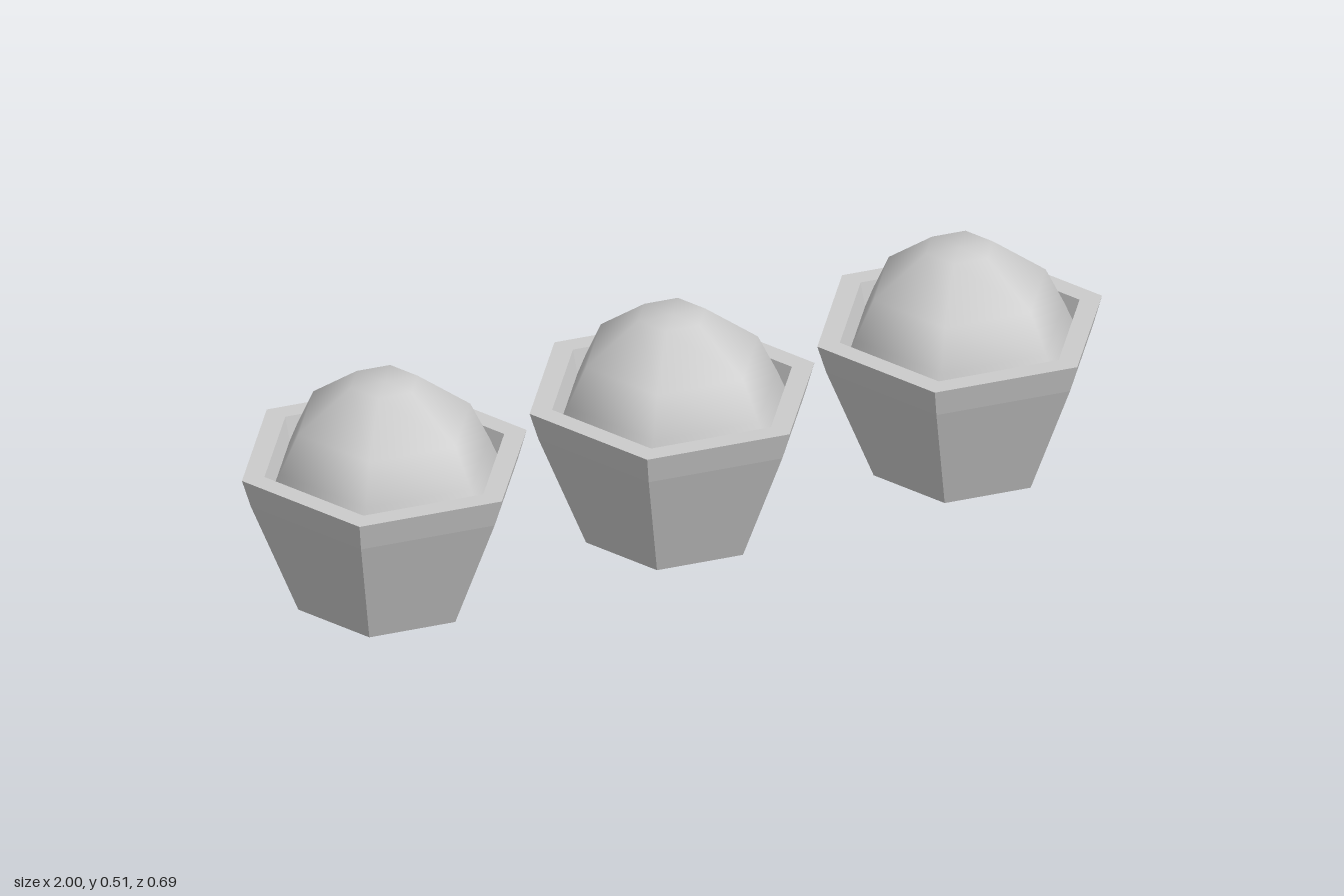
import * as THREE from 'three';

const grey = new THREE.MeshStandardMaterial({ color: 0xcccccc });
grey.name = 'light grey';

// Six-sided solid of revolution with corners on the x axis
function hexLathe(profile) {
  const points = profile.map(([r, y]) => new THREE.Vector2(r, y));
  return new THREE.LatheGeometry(points, 6, Math.PI / 6);
}

function createPlanter(potGeometry, bushGeometry) {
  const planter = new THREE.Group();
  const pot = new THREE.Mesh(potGeometry, grey);
  pot.name = 'pot';
  const bush = new THREE.Mesh(bushGeometry, grey);
  bush.name = 'bush';
  planter.add(pot, bush);
  return planter;
}

export function createModel() {
  const model = new THREE.Group();
  model.name = 'planterRow';

  // Faceted pot: base, flared wall, rim, inner wall and floor
  const potGeometry = hexLathe([
    [0, 0], [0.195, 0], [0.303, 0.27], [0.323, 0.335],
    [0.272, 0.335], [0.258, 0.275], [0, 0.275],
  ]).toNonIndexed();
  potGeometry.computeVertexNormals();

  // Smooth-shaded dome with a small flat crown
  const bushGeometry = hexLathe([
    [0.262, 0.276], [0.237, 0.335], [0.195, 0.423], [0.076, 0.513], [0, 0.513],
  ]);

  // Three planters in a slightly slanted row
  ['right', 'middle', 'left'].forEach((side, i) => {
    const planter = createPlanter(potGeometry, bushGeometry);
    planter.name = side + 'Planter';
    planter.position.set((i - 1) * 0.677, 0, (1 - i) * 0.065);
    model.add(planter);
  });
  return model;
}
